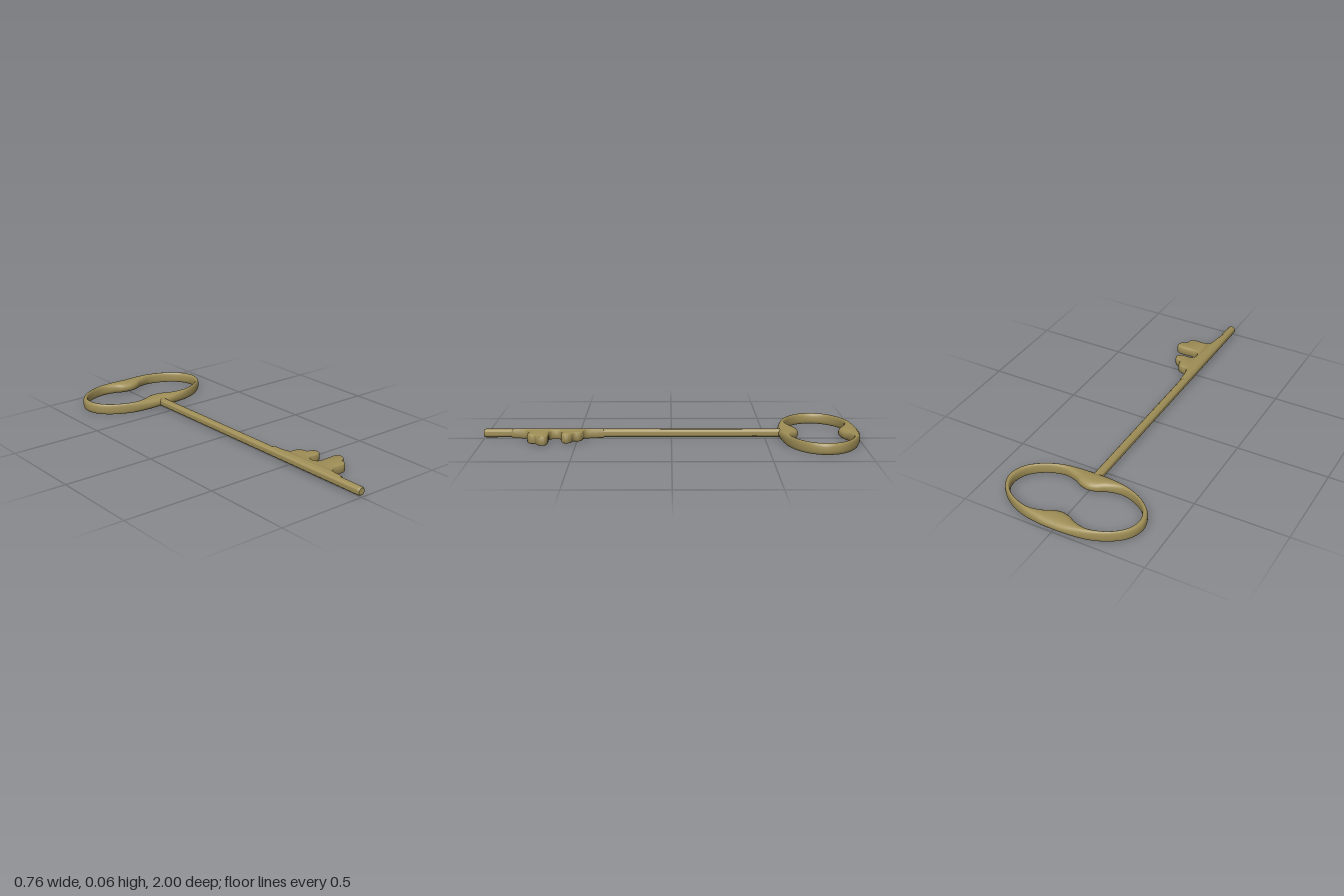
import * as THREE from 'three';
import { toCreasedNormals } from 'three/addons/utils/BufferGeometryUtils.js';

const MID = 0.03; // height of the key's middle plane

// Closed curve in x/z from one quarter (side to front), mirrored four ways
function quarterLoop(q) {
  const back = q.slice(0, -1).reverse();
  const half = [...q, ...back.map(([x, z]) => [-x, z])];
  const rest = half.slice(1, -1).reverse().map(([x, z]) => [x, -z]);
  const pts = [...half, ...rest].map(([x, z]) => new THREE.Vector3(x, 0, z));
  return new THREE.CatmullRomCurve3(pts, true);
}

// Ring with a rounded section stretched between an outer and an inner loop
function bowGeometry() {
  const outer = quarterLoop([[0.382, 0], [0.357, 0.077], [0.285, 0.143], [0.18, 0.19],
    [0.09, 0.209], [0.045, 0.214], [0, 0.215]]);
  const inner = quarterLoop([[0.35, 0], [0.328, 0.075], [0.265, 0.132], [0.17, 0.162],
    [0.09, 0.143], [0.045, 0.118], [0, 0.108]]);
  const U = 192, V = 24, pos = [], idx = [];
  const round = (s) => Math.sign(s) * Math.abs(s) ** 0.85;
  for (let i = 0; i < U; i++) {
    const o = outer.getPoint(i / U), n = inner.getPoint(i / U);
    for (let j = 0; j < V; j++) {
      const a = (j / V) * Math.PI * 2;
      const p = n.clone().lerp(o, 0.5 + 0.5 * round(Math.cos(a)));
      pos.push(p.x, 0.03 * round(Math.sin(a)), p.z);
      const i2 = (i + 1) % U, j2 = (j + 1) % V;
      const A = i * V + j, B = i * V + j2, C = i2 * V + j, D = i2 * V + j2;
      idx.push(A, B, C, B, D, C);
    }
  }
  const g = new THREE.BufferGeometry();
  g.setAttribute('position', new THREE.Float32BufferAttribute(pos, 3));
  g.setIndex(idx);
  g.computeVertexNormals();
  return g;
}

// Round rod along z with a slightly softened tip
function shankGeometry() {
  const profile = [[0, -0.63], [0.023, -0.62], [0.023, 0.99], [0.0215, 0.997], [0.018, 1], [0, 1]]
    .map(([r, z]) => new THREE.Vector2(r, z));
  return toCreasedNormals(new THREE.LatheGeometry(profile, 32).rotateX(Math.PI / 2), 0.7);
}

// Stepped teeth, with soft edges and fillets into the shank
function bitGeometry() {
  const edge = [[0.021, 0.36], [0.025, 0.42], [0.037, 0.462], [0.075, 0.468], [0.094, 0.482],
    [0.104, 0.514], [0.13, 0.525], [0.144, 0.545], [0.141, 0.568], [0.12, 0.579],
    [0.068, 0.581], [0.05, 0.593], [0.046, 0.613], [0.052, 0.636], [0.07, 0.645],
    [0.172, 0.645], [0.19, 0.656], [0.191, 0.686], [0.178, 0.702], [0.158, 0.714],
    [0.15, 0.738], [0.132, 0.754], [0.06, 0.756], [0.036, 0.768], [0.026, 0.8], [0.021, 0.85]];
  const curve = new THREE.CatmullRomCurve3(edge.map(([x, z]) => new THREE.Vector3(x, z, 0)));
  const pts = curve.getPoints(130).map((p) => new THREE.Vector2(p.x, p.y));
  const shape = new THREE.Shape([new THREE.Vector2(-0.004, 0.36), ...pts, new THREE.Vector2(-0.004, 0.85)]);
  const bevel = 0.011, height = 0.051;
  const g = new THREE.ExtrudeGeometry(shape, {
    depth: height - 2 * bevel, bevelThickness: bevel, bevelSize: bevel, bevelOffset: -bevel, bevelSegments: 4,
  });
  g.translate(0, 0, -(height - 2 * bevel) / 2).rotateX(Math.PI / 2);
  return toCreasedNormals(g, 0.75);
}

export function createModel() {
  const key = new THREE.Group();
  key.name = 'key';
  const brass = new THREE.MeshStandardMaterial({ color: 0xa08f57 });
  const add = (name, geometry, z = 0) => {
    const mesh = new THREE.Mesh(geometry, brass);
    mesh.name = name;
    mesh.position.set(0, MID, z);
    key.add(mesh);
  };
  add('bow', bowGeometry(), -0.785);
  add('shank', shankGeometry());
  add('bit', bitGeometry());
  return key;
}
